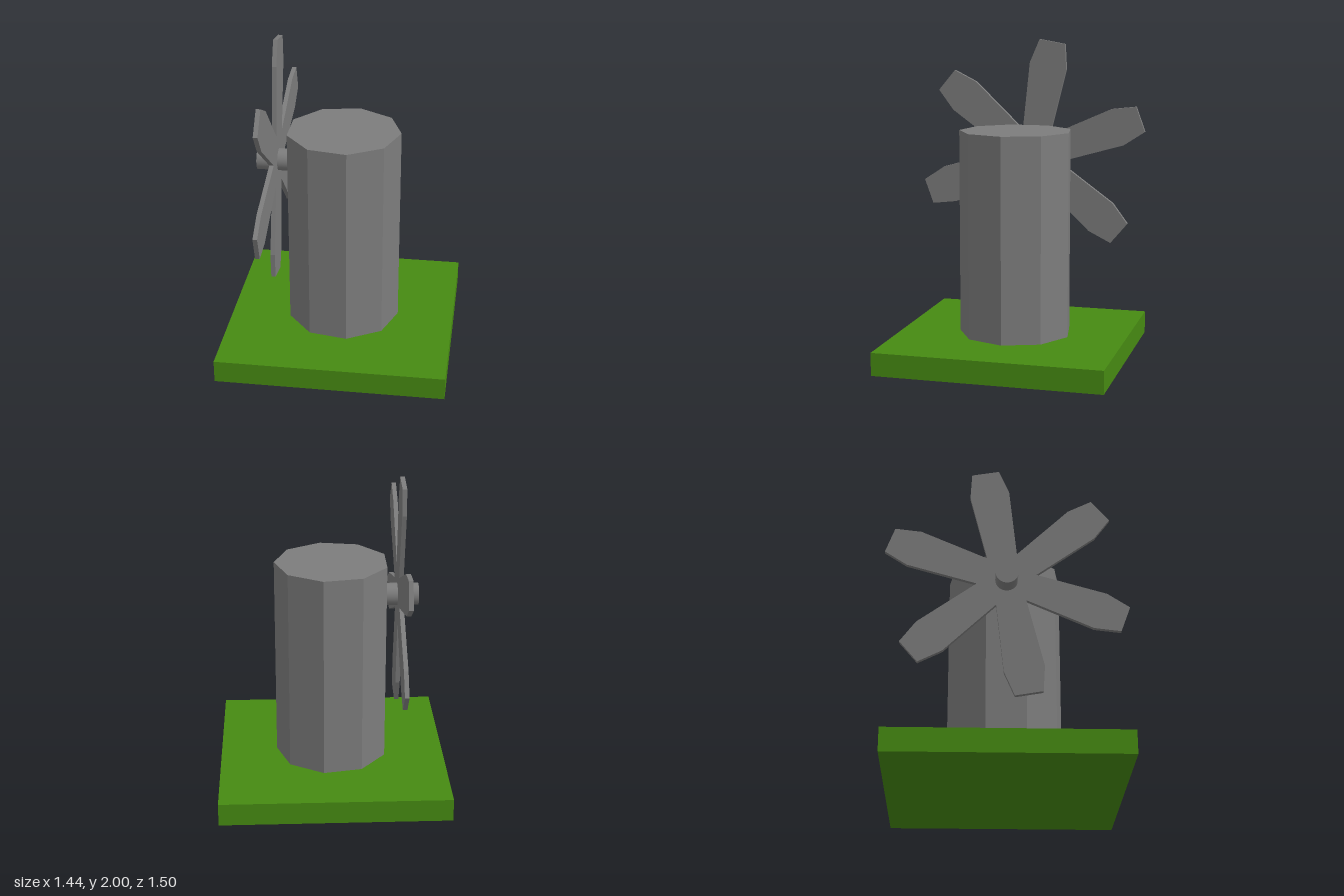
import * as THREE from 'three';

const grey = new THREE.MeshStandardMaterial({ color: 0x7c7c7c });
const greyFlat = new THREE.MeshStandardMaterial({ color: 0x7c7c7c, flatShading: true });
const green = new THREE.MeshStandardMaterial({ color: 0x468a12 });

const BASE_H = 0.145, TOWER_TOP = 1.445;

function part(name, geometry, material, x, y, z) {
  const mesh = new THREE.Mesh(geometry, material);
  mesh.name = name;
  mesh.position.set(x, y, z);
  return mesh;
}

// Six blades as one outline: [along blade, across blade], starting in the notch between two blades
function bladesGeometry() {
  const notch = 0.161;
  const profile = [
    [notch, notch * Math.tan(Math.PI / 6)],
    [0.607, 0.124], [0.767, 0.086], [0.767, -0.086], [0.607, -0.124],
  ];
  const points = [];
  for (let i = 0; i < 6; i++) {
    const a = THREE.MathUtils.degToRad(10 - 60 * i); // from vertical
    for (const [d, w] of profile) {
      points.push(new THREE.Vector2(
        d * Math.sin(a) + w * Math.cos(a),
        d * Math.cos(a) - w * Math.sin(a)));
    }
  }
  return new THREE.ExtrudeGeometry(new THREE.Shape(points), { depth: 0.028, bevelEnabled: false })
    .rotateY(Math.PI / 2);
}

export function createModel() {
  const model = new THREE.Group();
  model.name = 'windmill';

  // Grass slab
  model.add(part('base', new THREE.BoxGeometry(1.442, BASE_H, 1.442), green, 0, BASE_H / 2, 0));

  // Nine-sided tower with a corner towards +x and a flat side towards the hub
  const h = TOWER_TOP - BASE_H;
  const tower = new THREE.CylinderGeometry(0.36, 0.36, h, 9, 1, false, Math.PI / 2);
  model.add(part('tower', tower, greyFlat, 0, BASE_H + h / 2, 0));

  // Axle reaching slightly into the tower
  const axle = new THREE.CylinderGeometry(0.07, 0.07, 0.245, 32).rotateZ(Math.PI / 2);
  model.add(part('axle', axle, grey, -0.4225, 1.222, 0));

  // Blade wheel
  model.add(part('blades', bladesGeometry(), greyFlat, -0.44, 1.23, 0));

  return model;
}
